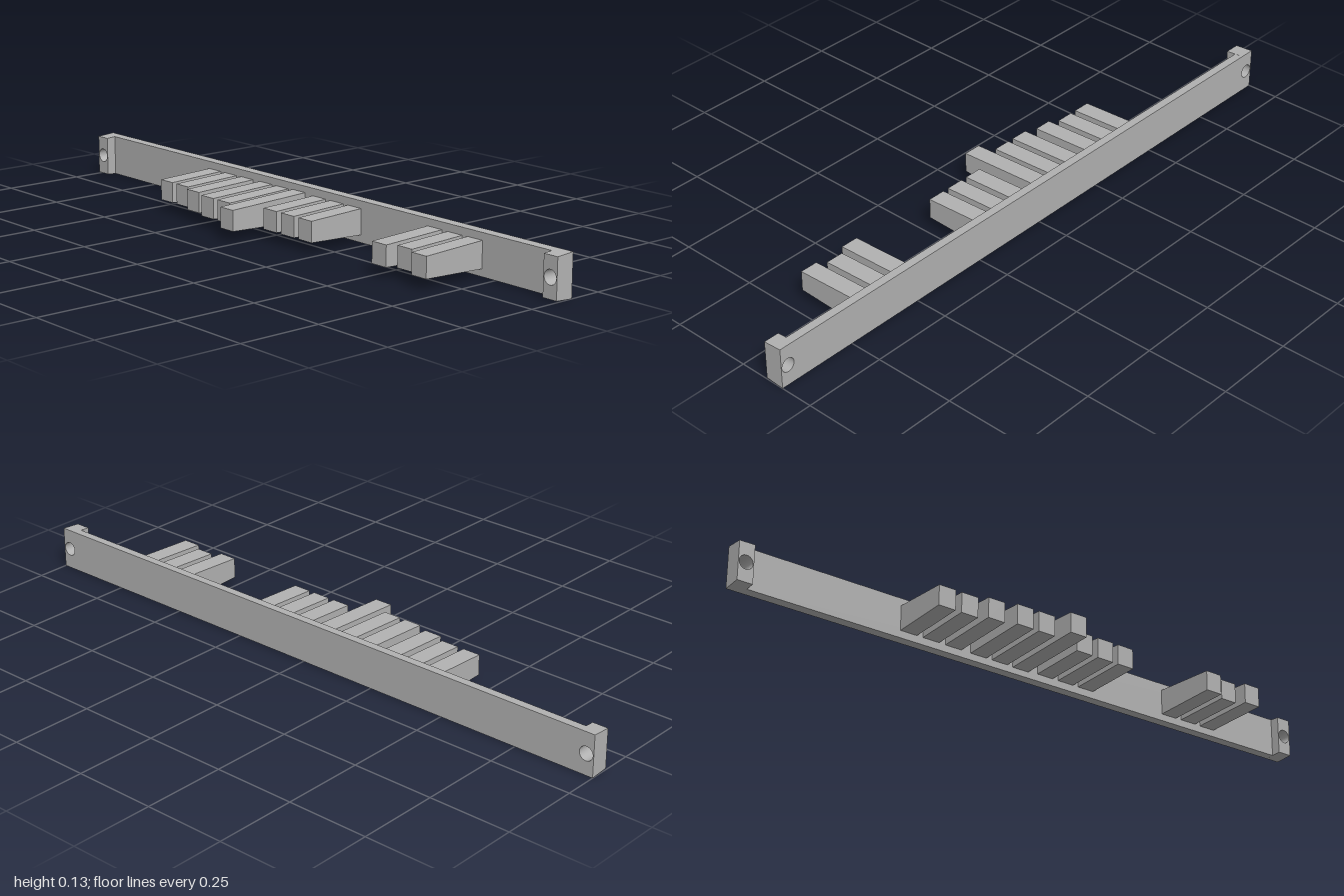
import * as THREE from 'three';

const MID = 0.063;    // height of the centre line
const BACK = -0.149;  // rear face of the bar

// Narrow the outer top and bottom faces towards the front by a constant draft
function applyDraft(geometry, zFront, slope, limit = 0) {
  const p = geometry.attributes.position;
  for (let i = 0; i < p.count; i++) {
    const y = p.getY(i);
    if (Math.abs(y) > limit) p.setY(i, y + Math.sign(y) * slope * (zFront - p.getZ(i)));
  }
  geometry.computeVertexNormals();
  return geometry;
}

export function createModel() {
  const group = new THREE.Group();
  const grey = new THREE.MeshStandardMaterial({ color: 0xb2b2b2 });
  grey.name = 'plain grey';

  function add(name, geometry, x) {
    const mesh = new THREE.Mesh(geometry, grey);
    mesh.name = name;
    mesh.position.set(x, MID, 0);
    group.add(mesh);
  }

  // Box between two depths with drafted top and bottom
  function draftedBox(width, frontHeight, z0, z1, slope) {
    const g = new THREE.BoxGeometry(width, frontHeight, z1 - z0);
    g.translate(0, 0, (z0 + z1) / 2);
    return applyDraft(g, z1, slope);
  }

  // Long backing bar
  add('backBar', draftedBox(1.904, 0.122, BACK, -0.121, 0.0714), 0);

  // Thicker end blocks, each with a screw hole
  for (const side of [-1, 1]) {
    const w = 0.024, h = 0.059;
    const shape = new THREE.Shape([
      new THREE.Vector2(-w, -h), new THREE.Vector2(w, -h),
      new THREE.Vector2(w, h), new THREE.Vector2(-w, h),
    ]);
    const hole = new THREE.Path();
    hole.absarc(0, 0, 0.021, 0, Math.PI * 2, true);
    shape.holes.push(hole);
    const g = new THREE.ExtrudeGeometry(shape, { depth: 0.058, bevelEnabled: false, curveSegments: 24 });
    g.translate(0, 0, BACK);
    applyDraft(g, BACK + 0.058, 0.07, 0.04);
    add(side > 0 ? 'leftEndBlock' : 'rightEndBlock', g, side * 0.976);
  }

  // Tapered fingers: centre x and front z
  const fingers = [
    [-0.434, 0.065], [-0.358, 0.065], [-0.281, 0.085],
    [-0.193, 0.101], [-0.118, 0.101], [-0.043, 0.15],
    [0.047, 0.065], [0.123, 0.065], [0.198, 0.065],
    [0.523, 0.086], [0.6, 0.065], [0.676, 0.086],
  ];
  for (const [x, front] of fingers) {
    add('finger', draftedBox(0.056, 0.062, -0.122, front, 0.04), x);
  }
  return group;
}
